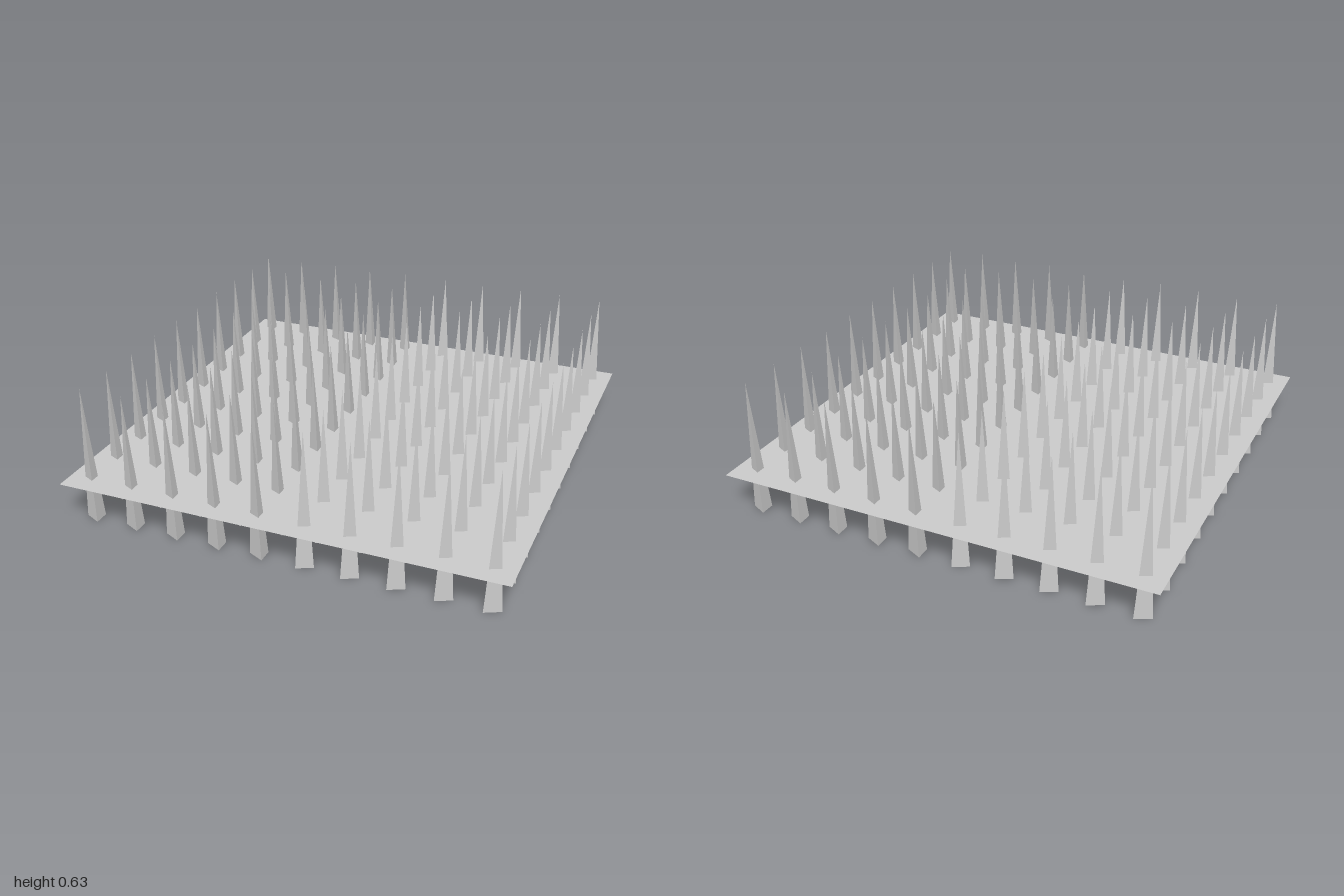
import * as THREE from 'three';

const HEIGHT = 0.63;
const PLATE_Y = 0.2;
const POINT_WIDTH = 0.07; // extent of the triangular foot along x
const POINT_DEPTH = 0.067; // extent of the triangular foot along z

// Open three-sided spike, one ridge toward +x, tip over the middle of its foot
function spikeGeometry() {
  const geo = new THREE.ConeGeometry(1, HEIGHT, 3, 1, true);
  geo.rotateY(Math.PI / 2);
  geo.translate(0, HEIGHT / 2, 0);
  const pos = geo.attributes.position;
  for (let i = 0; i < pos.count; i++) {
    if (pos.getY(i) < HEIGHT / 2) pos.setX(i, pos.getX(i) - 0.25);
  }
  geo.scale(POINT_WIDTH / 1.5, 1, POINT_DEPTH / Math.sqrt(3));
  geo.computeVertexNormals();
  return geo;
}

export function createModel() {
  const model = new THREE.Group();
  model.name = 'spikeTrap';
  const material = new THREE.MeshStandardMaterial({
    color: 0xcccccc, flatShading: true, side: THREE.DoubleSide,
  });

  // Thin square plate that the spikes pass through
  const plate = new THREE.Mesh(new THREE.PlaneGeometry(2, 2).rotateX(-Math.PI / 2), material);
  plate.name = 'plate';
  plate.position.y = PLATE_Y;
  model.add(plate);

  // Ten rows of ten spikes, ridges facing outward from the middle
  const geo = spikeGeometry();
  const spikes = new THREE.Group();
  spikes.name = 'spikes';
  for (let row = 0; row < 10; row++) {
    for (let col = 0; col < 5; col++) {
      for (const side of [-1, 1]) {
        const spike = new THREE.Mesh(geo, material);
        spike.name = 'spike';
        spike.position.set(side * (0.112 + col * 0.2), 0, -0.9 + row * 0.2);
        spike.rotation.y = side < 0 ? Math.PI : 0;
        spikes.add(spike);
      }
    }
  }
  model.add(spikes);
  return model;
}
